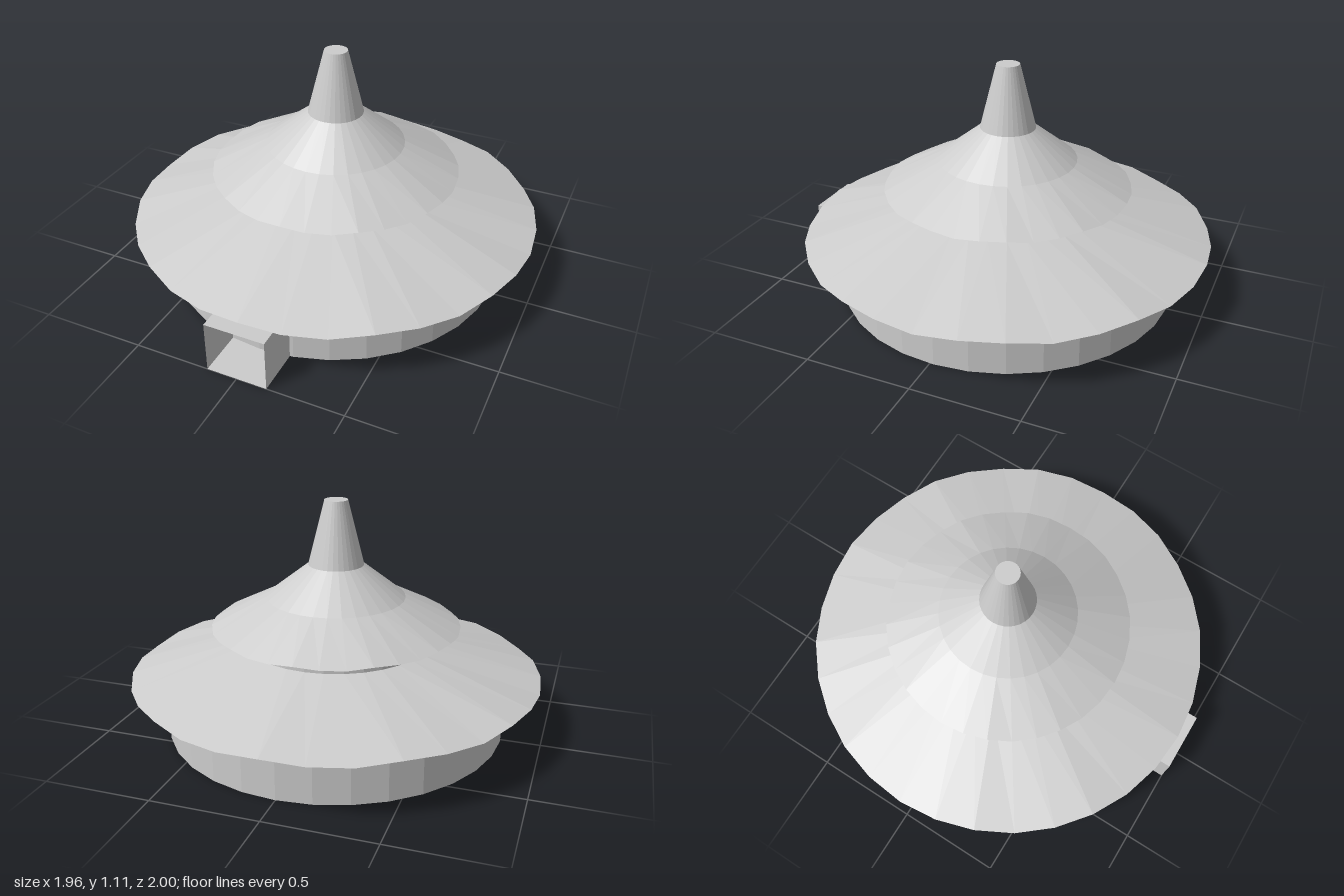
import * as THREE from 'three';

const SIDES = 32;
const CENTRE_Z = -0.018;

const stone = new THREE.MeshStandardMaterial({ color: 0xcccccc });
stone.name = 'pale grey';
stone.flatShading = true;
stone.side = THREE.DoubleSide;

// Faceted round part from a bottom-to-top profile; the eave rim gently ripples.
function roundPart(name, profile, eaveRadius = Infinity, ripple = 0) {
  const geometry = new THREE.LatheGeometry(profile.map(([r, y]) => new THREE.Vector2(r, y)), SIDES);
  const p = geometry.attributes.position;
  for (let i = 0; i < p.count; i++) {
    const x = p.getX(i), z = p.getZ(i);
    if (Math.hypot(x, z) > eaveRadius - 0.01) {
      p.setY(i, p.getY(i) + ripple * Math.cos(10 * Math.atan2(x, z)));
    }
  }
  geometry.computeVertexNormals();
  const mesh = new THREE.Mesh(geometry, stone);
  mesh.name = name;
  mesh.position.z = CENTRE_Z;
  return mesh;
}

export function createModel() {
  const model = new THREE.Group();
  model.name = 'roundPavilion';

  // Wide drum that carries the lower roof
  model.add(roundPart('lowerWall', [[0, 0], [0.815, 0], [0.815, 0.276]]));

  // Lower roof with a flat soffit
  model.add(roundPart('lowerRoof', [[0.8, 0.276], [0.982, 0.272], [0.445, 0.432]], 0.982, 0.008));

  // Narrow drum between the roofs
  model.add(roundPart('upperWall', [[0.45, 0.425], [0.45, 0.512]]));

  // Upper roof, steeper towards the spire
  model.add(roundPart('upperRoof',
    [[0.44, 0.51], [0.593, 0.508], [0.33, 0.645], [0.13, 0.802]], 0.593, 0.005));

  // Tapered spire with a flat top
  model.add(roundPart('spire', [[0.132, 0.8], [0.055, 1.107], [0, 1.107]]));

  // Entrance porch: a thin-walled passage, open at the front
  const tube = new THREE.BoxGeometry(0.286, 0.246, 0.24);
  tube.setIndex(Array.from(tube.index.array.slice(0, 24)));
  tube.clearGroups();
  const porch = new THREE.Mesh(tube, stone);
  porch.name = 'entrancePorch';
  porch.position.set(0, 0.123, 0.88);
  model.add(porch);

  return model;
}
